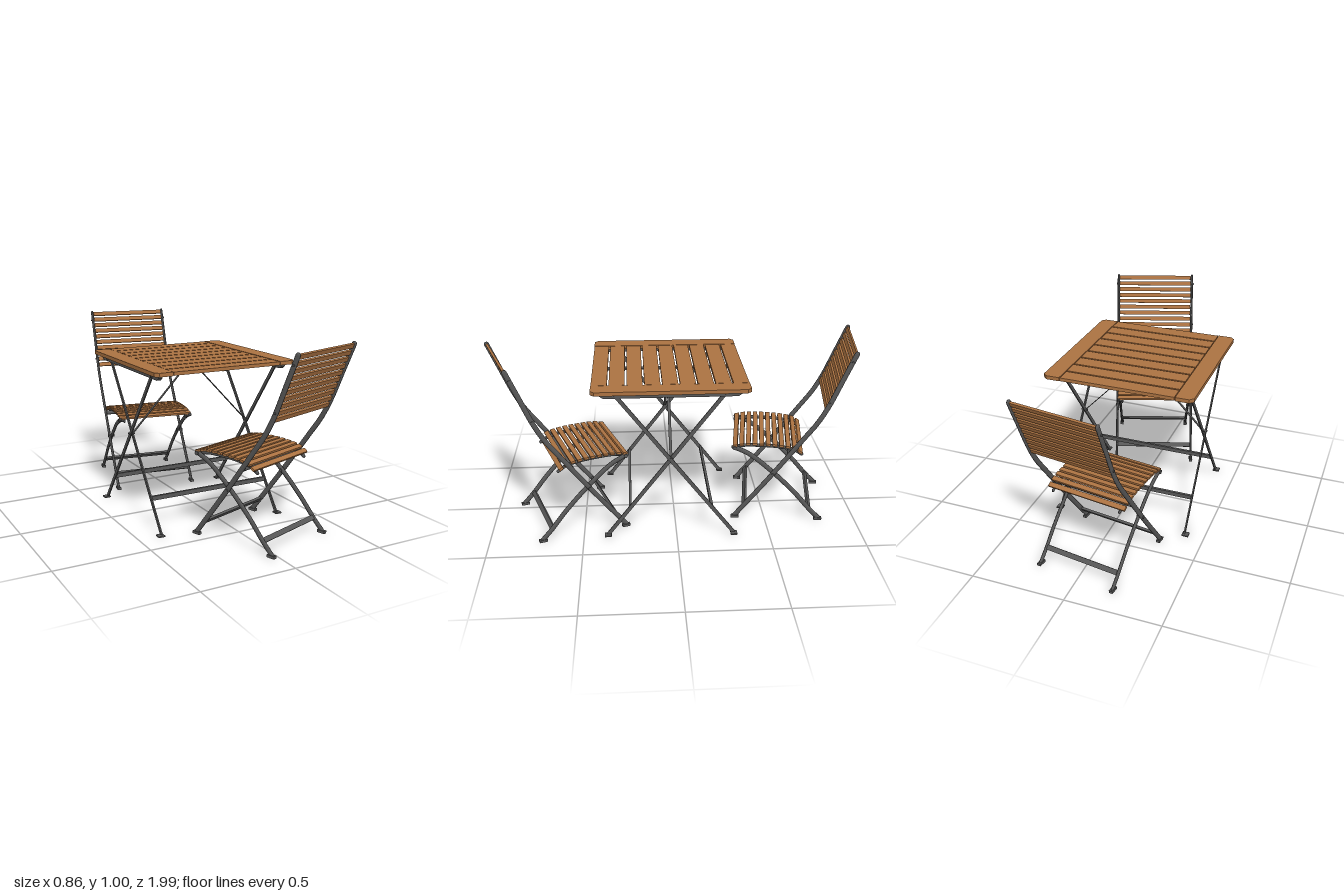
import * as THREE from 'three';

const wood = new THREE.MeshStandardMaterial({ color: 0xac7342 });
wood.name = 'oiled wood';
const metal = new THREE.MeshStandardMaterial({ color: 0x585858 });
metal.name = 'dark grey metal';

function add(parent, name, geometry, material, x = 0, y = 0, z = 0, tilt = 0) {
  const mesh = new THREE.Mesh(geometry, material);
  mesh.name = name;
  mesh.position.set(x, y, z);
  mesh.rotation.x = tilt;
  parent.add(mesh);
  return mesh;
}
const box = (w, h, d) => new THREE.BoxGeometry(w, h, d);
const rodX = (r, len) => new THREE.CylinderGeometry(r, r, len, 10).rotateZ(Math.PI / 2);

// Curve in the side plane through [z, y] points
const sideCurve = pts => new THREE.CatmullRomCurve3(pts.map(([z, y]) => new THREE.Vector3(0, y, z)));

// Oval tube with rounded ends, narrow across x
function ovalTube(parent, name, pts, x, radius, flat) {
  const curve = sideCurve(pts);
  add(parent, name, new THREE.TubeGeometry(curve, 28, radius, 10).scale(flat, 1, 1), metal, x);
  for (const t of [0, 1]) {
    const p = curve.getPoint(t);
    add(parent, name + 'End', new THREE.SphereGeometry(radius, 10, 6).scale(flat, 1, 1), metal, x, p.y, p.z);
  }
}

// Straight bar between two [x, y, z] points
function bar(parent, name, a, b, w, d) {
  const p = new THREE.Vector3(...a), q = new THREE.Vector3(...b);
  const mesh = add(parent, name, box(w, p.distanceTo(q), d), metal);
  mesh.position.copy(p).lerp(q, 0.5);
  mesh.quaternion.setFromUnitVectors(new THREE.Vector3(0, 1, 0), q.sub(p).normalize());
}

function createTable() {
  const table = new THREE.Group();
  table.name = 'table';

  // End boards with clipped outer corners
  for (const side of [1, -1]) {
    const shape = new THREE.Shape([[0.308, -0.403], [0.38, -0.403], [0.4, -0.383], [0.4, 0.383], [0.38, 0.403], [0.308, 0.403]]
      .map(([x, z]) => new THREE.Vector2(x, z)));
    const geo = new THREE.ExtrudeGeometry(shape, { depth: 0.02, bevelEnabled: false }).rotateX(-Math.PI / 2);
    const board = add(table, 'endBoard', geo, wood, 0, 0.832, 0);
    if (side < 0) board.rotation.y = Math.PI;
  }
  // Top slats
  for (let i = 0; i < 9; i++) {
    add(table, 'topSlat', box(0.608, 0.018, 0.081), wood, 0, 0.842, (i - 4) * 0.0903);
  }
  // Rails under the top, with slanted ends
  const railShape = new THREE.Shape([[-0.34, 0], [0.34, 0], [0.36, 0.014], [0.36, 0.028], [-0.36, 0.028], [-0.36, 0.014]]
    .map(([z, y]) => new THREE.Vector2(z, y)));
  for (const side of [1, -1]) {
    const geo = new THREE.ExtrudeGeometry(railShape, { depth: 0.022, bevelEnabled: false })
      .translate(0, 0, -0.011).rotateY(Math.PI / 2);
    add(table, 'topRail', geo, metal, side * 0.355, 0.804, 0);
    // Pivot and top bolts
    add(table, 'legPivot', rodX(0.006, 0.034), metal, side * 0.355, 0.46, 0);
    for (const z of [-0.28, 0.28]) {
      add(table, 'topBolt', rodX(0.007, 0.032), metal, side * 0.355, 0.815, z);
    }
    // Flat diagonal stay
    bar(table, 'stayBar', [side * 0.347, 0.46, 0], [0, 0.825, 0], 0.0035, 0.015);
  }
  add(table, 'centreBatten', box(0.03, 0.008, 0.74), metal, 0, 0.828, 0);

  // Crossed legs, feet and stretchers
  for (const dir of [1, -1]) {
    const x = dir > 0 ? 0.363 : 0.348;
    for (const side of [1, -1]) {
      bar(table, 'tableLeg', [side * x, 0.82, dir * 0.28], [side * x, 0.004, dir * -0.34], 0.007, 0.02);
      add(table, 'tableFoot', box(0.036, 0.007, 0.036), metal, side * (x + 0.006), 0.0035, dir * -0.34);
    }
    add(table, 'tableStretcher', box(x * 2, 0.023, 0.014), metal, 0, 0.163, dir * -0.218);
  }
  return table;
}

const longLeg = [[0, 0.986], [0.055, 0.85], [0.12, 0.69], [0.17, 0.595], [0.236, 0.5], [0.42, 0.24], [0.59, 0.012]];
const shortLeg = [[0.605, 0.428], [0.52, 0.389], [0.395, 0.29], [0.265, 0.165], [0.175, 0.062], [0.125, 0.012]];
const seatLine = [[0.238, 0.408], [0.28, 0.432], [0.36, 0.446], [0.46, 0.45], [0.55, 0.447], [0.61, 0.434]];

// Folding chair facing +z, its back top at z = 0
function createChair(name) {
  const chair = new THREE.Group();
  chair.name = name;

  for (const side of [1, -1]) {
    ovalTube(chair, 'longLeg', longLeg, side * 0.229, 0.0135, 0.55);
    ovalTube(chair, 'shortLeg', shortLeg, side * 0.212, 0.0135, 0.55);
    ovalTube(chair, 'seatRail', seatLine.map(([z, y]) => [z, y - 0.016]), side * 0.19, 0.01, 0.6);
    add(chair, 'longLegFoot', box(0.02, 0.014, 0.044), metal, side * 0.229, 0.007, 0.588);
    add(chair, 'shortLegFoot', box(0.02, 0.014, 0.044), metal, side * 0.212, 0.007, 0.127);
    add(chair, 'legPivot', rodX(0.008, 0.038), metal, side * 0.22, 0.28, 0.39);
    add(chair, 'seatHinge', rodX(0.011, 0.04), metal, side * 0.203, 0.424, 0.6);
    // Bolts through the back frame
    for (const [z, y] of [[0.018, 0.942], [0.112, 0.71]]) {
      add(chair, 'backBolt', rodX(0.006, 0.022), metal, side * 0.23, y, z);
    }
  }

  // Cross bars
  add(chair, 'seatBar', rodX(0.012, 0.45), metal, 0, 0.403, 0.305);
  add(chair, 'frontStretcher', box(0.455, 0.026, 0.013), metal, 0, 0.08, 0.539, -0.64);
  add(chair, 'rearStretcher', box(0.422, 0.026, 0.013), metal, 0, 0.07, 0.181, 0.7);

  // Back slats follow the frame
  for (let i = 0; i < 10; i++) {
    const y = 0.675 + i * 0.0337;
    const z = 0.126 - (y - 0.675) * 0.405;
    add(chair, 'backSlat', box(0.442, 0.0235, 0.012), wood, 0, y, z, -0.385);
  }
  // Seat slats follow the curved seat line
  const seat = sideCurve(seatLine);
  for (let i = 0; i < 11; i++) {
    const t = 0.03 + (0.94 * i) / 10;
    const p = seat.getPointAt(t), d = seat.getTangentAt(t);
    add(chair, 'seatSlat', box(0.436, 0.012, 0.025), wood, 0, p.y, p.z, -Math.atan2(d.y, d.z));
  }
  return chair;
}

export function createModel() {
  const model = new THREE.Group();
  model.name = 'foldingTableAndChairs';

  const table = createTable();
  table.position.set(-0.03, 0, 0.03);

  const frontChair = createChair('frontChair');
  frontChair.position.set(0.207, 0, 0.904);
  frontChair.rotation.y = Math.PI + 0.336;

  const rearChair = createChair('rearChair');
  rearChair.position.set(0.03, 0, -0.952);
  rearChair.rotation.y = -0.151;

  model.add(table, frontChair, rearChair);
  return model;
}
